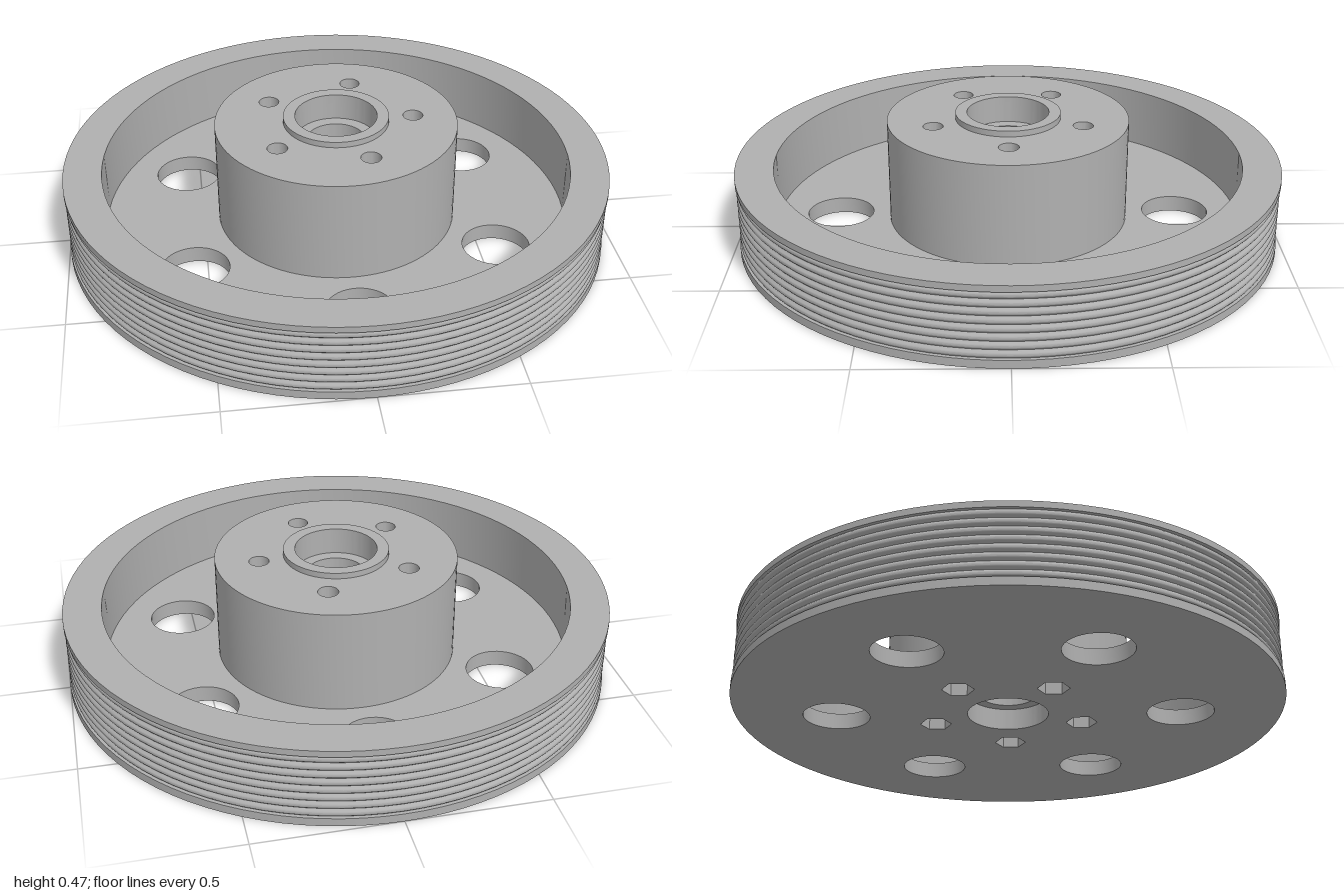
import * as THREE from 'three';
import { toCreasedNormals } from 'three/addons/utils/BufferGeometryUtils.js';

const SIDES = 96;
const FLOOR = 0.06, RIM_TOP = 0.293, HUB_TOP = 0.443, POCKET = 0.2;

// Regular polygon (or circle) outline, lined up with the lathe's vertices
function loop(r, n = SIDES, cx = 0, cy = 0) {
  return Array.from({ length: n }, (_, i) => {
    const a = Math.PI / 2 + (i / n) * Math.PI * 2;
    return new THREE.Vector2(cx + r * Math.cos(a), cy + r * Math.sin(a));
  });
}

// Evenly spaced points on a circle
function ring(r, n, start = 0) {
  return Array.from({ length: n }, (_, i) => {
    const a = start + (i / n) * Math.PI * 2;
    return [r * Math.cos(a), r * Math.sin(a)];
  });
}

export function createModel() {
  const group = new THREE.Group();
  const metal = new THREE.MeshStandardMaterial({ color: 0xb0b0b0 });
  metal.name = 'grey metal';

  function add(name, geometry, x = 0, y = 0, z = 0) {
    const mesh = new THREE.Mesh(geometry, metal);
    mesh.name = name;
    mesh.position.set(x, y, z);
    group.add(mesh);
  }

  // Revolved surface: a rising profile faces out, a falling one faces in
  function turned(name, profile, n = SIDES, x = 0, z = 0) {
    const points = profile.map(([r, y]) => new THREE.Vector2(r, y));
    add(name, toCreasedNormals(new THREE.LatheGeometry(points, n), 0.5), x, 0, z);
  }

  // Flat perforated face, looking up or down
  function plate(name, outline, holes, y, up, x = 0, z = 0) {
    const shape = new THREE.Shape(outline);
    shape.holes = holes.map((h) => new THREE.Path(h));
    const geometry = new THREE.ShapeGeometry(shape);
    geometry.rotateX(up ? -Math.PI / 2 : Math.PI / 2);
    add(name, geometry, x, y, z);
  }

  const lightening = ring(0.63, 6, Math.PI / 6);
  const bolts = ring(0.285, 5);
  const webHoles = lightening.map(([x, y]) => loop(0.1225, 48, x, y));

  // Rim with eight rounded belt ribs between two flanges
  const rim = [[1, 0], [1, 0.03]];
  const ribs = 8, steps = 8, pitch = 0.03;
  for (let i = 0; i <= ribs * steps; i++) {
    const bulge = Math.abs(Math.sin((i / steps) * Math.PI));
    rim.push([0.987 + 0.01 * bulge, 0.03 + (i / steps) * pitch]);
  }
  rim.push([1, 0.27], [1, RIM_TOP], [0.86, RIM_TOP], [0.86, FLOOR]);
  turned('ribbedRim', rim);

  // Web
  plate('webTop', loop(0.86), [loop(0.443), ...webHoles], FLOOR, true);
  plate('underside', loop(1), [
    loop(0.148), ...webHoles,
    ...bolts.map(([x, y]) => loop(0.058, 6, x, y)),
  ], 0, false);
  for (const [x, z] of lightening) {
    turned('lighteningHoleWall', [[0.1225, FLOOR], [0.1225, 0]], 48, x, z);
  }

  // Hub
  turned('hubWall', [[0.443, FLOOR], [0.443, HUB_TOP]]);
  plate('hubTop', loop(0.443),
    [loop(0.193), ...bolts.map(([x, y]) => loop(0.037, 24, x, y))], HUB_TOP, true);

  // Collar and stepped bore
  turned('collarAndBore', [
    [0.193, HUB_TOP], [0.193, 0.465], [0.15, 0.465], [0.15, 0.365],
    [0.107, 0.365], [0.107, 0.08], [0.148, 0.08], [0.148, 0],
  ]);

  // Bolt holes with hexagonal nut pockets underneath
  for (const [x, z] of bolts) {
    turned('boltHoleWall', [[0.037, HUB_TOP], [0.037, POCKET]], 24, x, z);
    turned('nutPocketWall', [[0.058, POCKET], [0.058, 0]], 6, x, z);
    plate('nutPocketSeat', loop(0.058, 6), [loop(0.037, 24)], POCKET, false, x, z);
  }
  return group;
}
